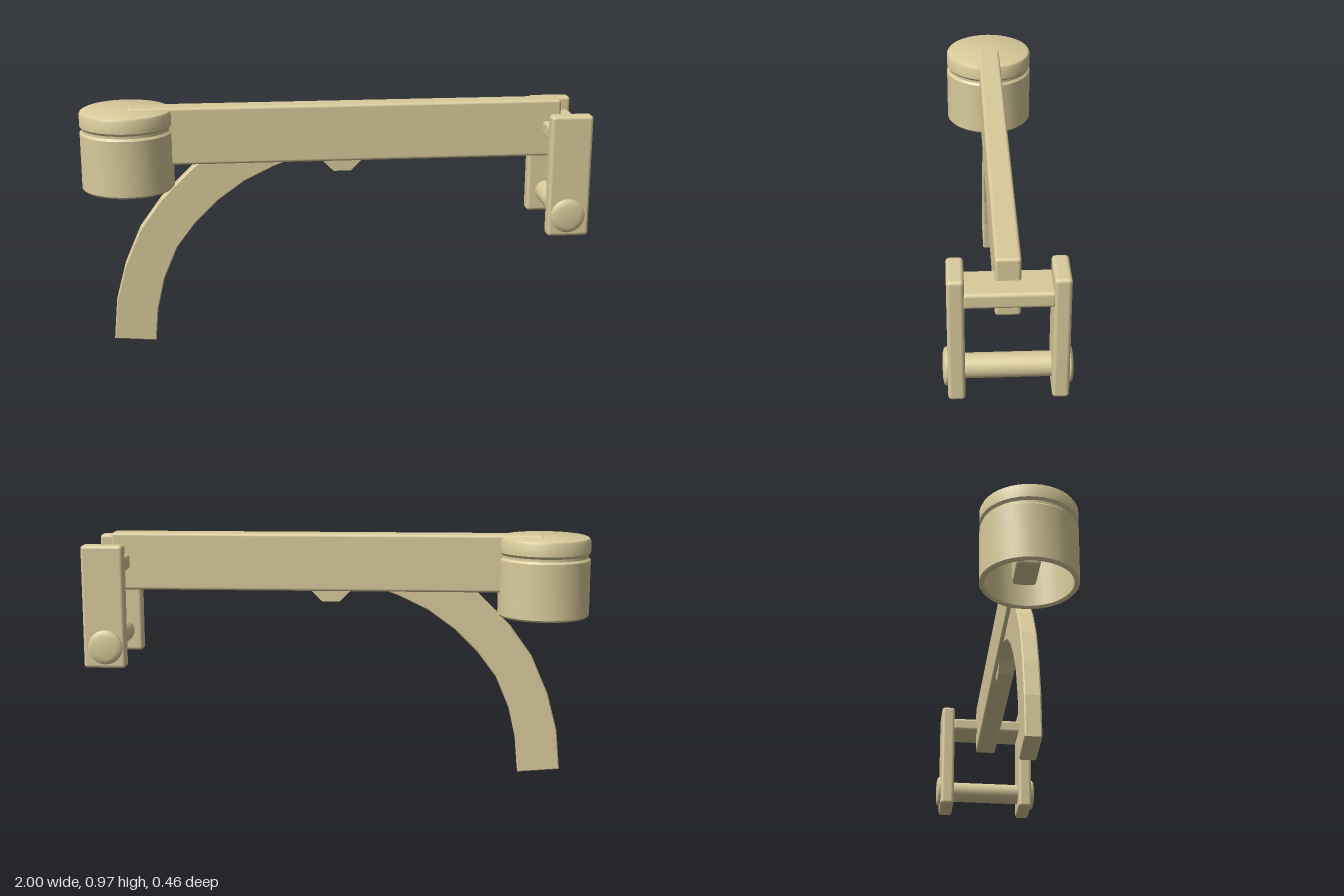
import * as THREE from 'three';
import { toCreasedNormals } from 'three/addons/utils/BufferGeometryUtils.js';
import { RoundedBoxGeometry } from 'three/addons/geometries/RoundedBoxGeometry.js';

export function createModel() {
  const model = new THREE.Group();
  const material = new THREE.MeshStandardMaterial({ color: 0xd9cb9b });

  function add(name, geometry, x = 0, y = 0, z = 0) {
    const mesh = new THREE.Mesh(geometry, material);
    mesh.name = name;
    mesh.position.set(x, y, z);
    model.add(mesh);
    return mesh;
  }
  const points = (list) => list.map(([x, y]) => new THREE.Vector2(x, y));
  const lathe = (list, sides) => toCreasedNormals(new THREE.LatheGeometry(points(list), sides), 0.6);

  // Long main beam
  add('beam', new RoundedBoxGeometry(1.72, 0.23, 0.09, 3, 0.012), 0.05, 0.86, 0);

  // Hollow cup, open underneath, with a grooved lid
  add('cup', lathe([
    [0, 0.885], [0.162, 0.885], [0.162, 0.657], [0.168, 0.65], [0.175, 0.65], [0.182, 0.658],
    [0.182, 0.878], [0.174, 0.887], [0.174, 0.897], [0.182, 0.907],
    [0.182, 0.953], [0.177, 0.963], [0.167, 0.968], [0, 0.968],
  ], 40), -0.818, 0, 0);

  // Curved leg: a faceted band running up into the beam
  const outer = [[-0.9, 0.018], [-0.885, 0.18], [-0.845, 0.33], [-0.78, 0.48], [-0.69, 0.605], [-0.56, 0.735], [-0.46, 0.8]];
  const inner = [[-0.1, 0.78], [-0.24, 0.728], [-0.36, 0.67], [-0.47, 0.59], [-0.56, 0.5], [-0.635, 0.4],
    [-0.69, 0.27], [-0.72, 0.14], [-0.732, 0.004]];
  const leg = new THREE.ExtrudeGeometry(new THREE.Shape(points([...outer, ...inner])), {
    depth: 0.05, bevelThickness: 0.005, bevelSize: 0.004, bevelOffset: -0.004, bevelSegments: 1,
  });
  add('curvedLeg', leg, 0, 0, -0.025);

  // Small eight-sided stop under the beam
  const stop = new THREE.CylinderGeometry(0.091, 0.091, 0.06, 8);
  stop.rotateY(Math.PI / 8);
  stop.rotateX(Math.PI / 2);
  add('stop', toCreasedNormals(stop, 0.5), 0.03, 0.786, 0);

  // Fork at the far end: two cheeks joined by a plate
  for (const side of [1, -1]) {
    add(side > 0 ? 'leftCheek' : 'rightCheek',
      new RoundedBoxGeometry(0.166, 0.488, 0.06, 3, 0.014), 0.915, 0.7, side * 0.18);

    // Domed head on the end of the pin
    const head = add('pinHead', lathe([
      [0, 0], [0.063, 0], [0.068, 0.006], [0.068, 0.018], [0.062, 0.024], [0.045, 0.028], [0, 0.03],
    ], 24), 0.91, 0.542, side * 0.198);
    head.rotation.x = side * Math.PI / 2;
  }
  add('forkPlate', new RoundedBoxGeometry(0.156, 0.06, 0.32, 3, 0.014), 0.915, 0.86, 0);

  // Pin between the cheeks
  const pin = new THREE.CylinderGeometry(0.045, 0.045, 0.4, 24);
  pin.rotateX(Math.PI / 2);
  add('pin', pin, 0.91, 0.542, 0);

  return model;
}
